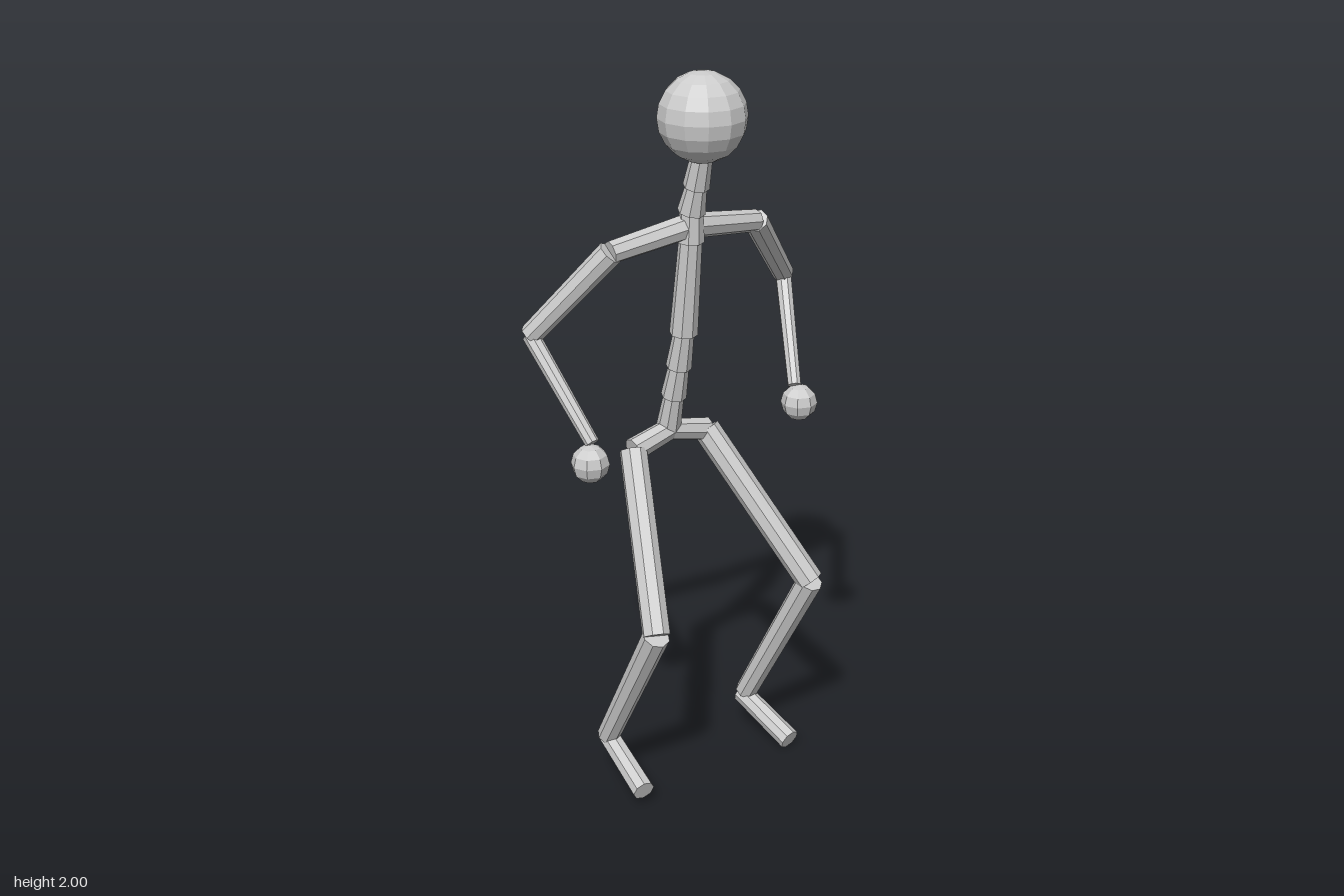
import * as THREE from 'three';

export function createModel() {
  const model = new THREE.Group();
  const grey = new THREE.MeshStandardMaterial({ color: 0xcccccc, flatShading: true });
  grey.name = 'plain light grey';

  const up = new THREE.Vector3(0, 1, 0);

  // Eight-sided bone from point a to point b
  function bone(name, a, b, ra, rb) {
    const start = new THREE.Vector3(...a);
    const dir = new THREE.Vector3(...b).sub(start);
    const mesh = new THREE.Mesh(new THREE.CylinderGeometry(rb, ra, dir.length(), 8), grey);
    mesh.name = name;
    mesh.position.copy(start).addScaledVector(dir, 0.5);
    mesh.quaternion.setFromUnitVectors(up, dir.clone().normalize());
    model.add(mesh);
  }

  function ball(name, p, r, w, h) {
    const mesh = new THREE.Mesh(new THREE.SphereGeometry(r, w, h), grey);
    mesh.name = name;
    mesh.position.set(...p);
    model.add(mesh);
  }

  // Head
  ball('head', [-0.029, 1.884, 0.05], 0.116, 12, 10);

  // Spine and neck: [y, z, start radius, end radius], from pelvis upward
  const spine = [
    [1.0, -0.1, 0.034, 0.028],
    [1.1, -0.075, 0.035, 0.028],
    [1.19, -0.052, 0.035, 0.028],
    [1.29, -0.03, 0.038, 0.031],
    [1.55, 0.0, 0.037, 0.031],
    [1.63, 0.005, 0.037, 0.028],
    [1.7, 0.025, 0.035, 0.028],
    [1.79, 0.05],
  ];
  for (let i = 0; i < spine.length - 1; i++) {
    const [y, z, ra, rb] = spine[i];
    const [y2, z2] = spine[i + 1];
    bone(i < 4 ? 'spineSegment' : 'neckSegment', [-0.03, y, z], [-0.03, y2, z2], ra, rb);
  }

  // Joints of each posed side
  const chest = [-0.03, 1.59, -0.005];
  const pelvis = [-0.03, 0.995, -0.097];
  const sides = {
    right: {
      shoulder: [-0.26, 1.555, -0.03], elbow: [-0.402, 1.32, -0.193],
      wrist: [-0.365, 1.08, 0.025], hand: [-0.378, 1.03, 0.033],
      hip: [-0.152, 0.965, -0.095], knee: [-0.27, 0.55, 0.165],
      ankle: [-0.265, 0.13, -0.075], heel: [-0.258, 0.125, -0.09], toe: [-0.285, 0.053, 0.12],
    },
    left: {
      shoulder: [0.21, 1.555, -0.03], elbow: [0.408, 1.34, -0.148],
      wrist: [0.31, 1.08, 0.025], hand: [0.321, 1.03, 0.033],
      hip: [0.096, 0.965, -0.095], knee: [0.247, 0.56, 0.182],
      ankle: [0.207, 0.12, -0.045], heel: [0.203, 0.11, -0.06], toe: [0.225, 0.033, 0.135],
    },
  };

  for (const [side, j] of Object.entries(sides)) {
    // Arm
    bone(side + 'Collar', chest, j.shoulder, 0.034, 0.03);
    bone(side + 'UpperArm', j.shoulder, j.elbow, 0.034, 0.03);
    bone(side + 'Forearm', j.elbow, j.wrist, 0.023, 0.019);
    ball(side + 'Hand', j.hand, 0.051, 8, 6);
    // Leg
    bone(side + 'Pelvis', pelvis, j.hip, 0.03, 0.033);
    bone(side + 'Thigh', j.hip, j.knee, 0.038, 0.038);
    bone(side + 'Shin', j.knee, j.ankle, 0.037, 0.032);
    bone(side + 'Foot', j.heel, j.toe, 0.029, 0.031);
  }

  return model;
}
